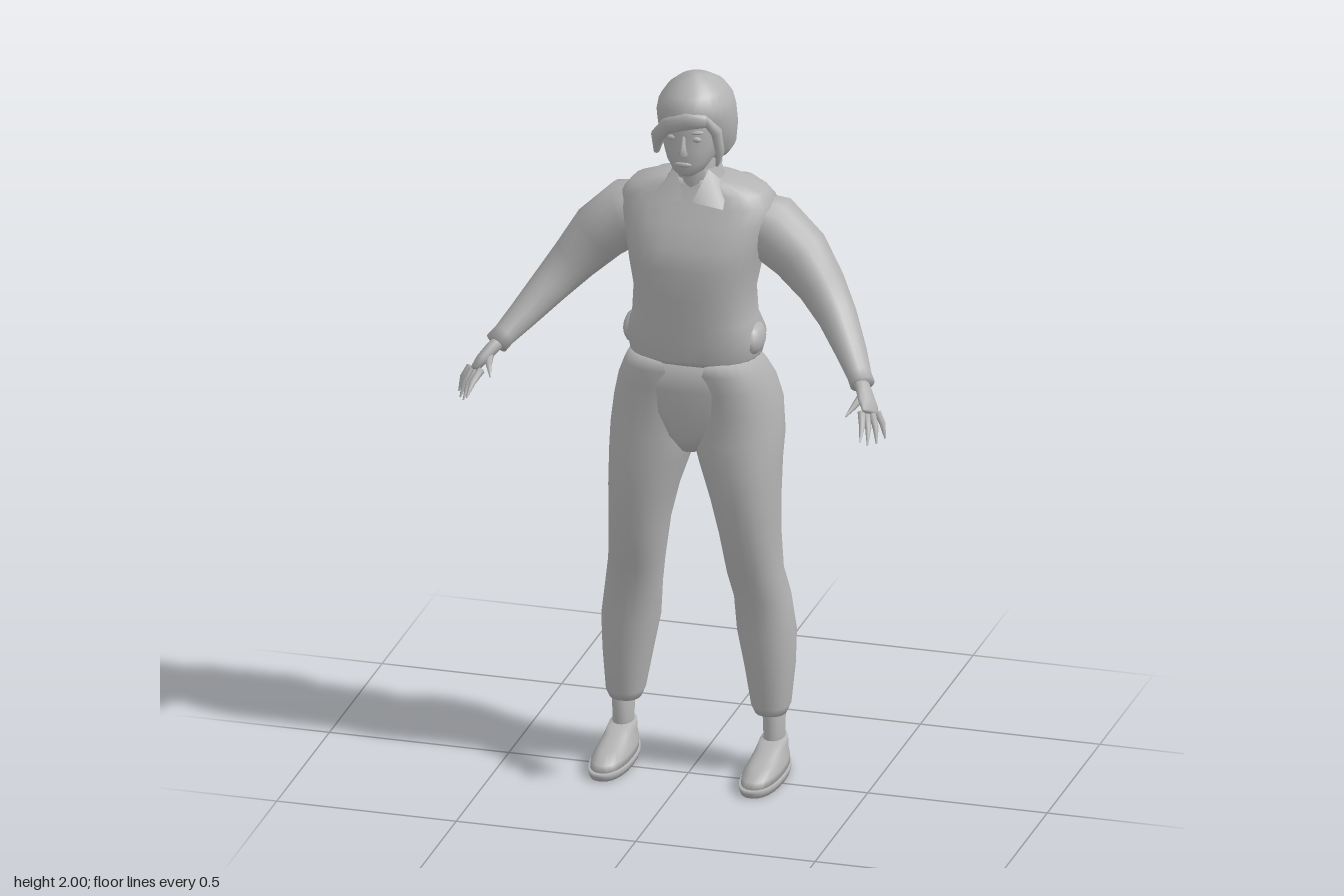
import * as THREE from 'three';

const V = (x, y, z) => new THREE.Vector3(x, y, z);

// Closed skin over rings of equal point count, capped at both ends
function skin(rings) {
  const n = rings[0].length, pos = [], idx = [];
  rings.forEach(r => r.forEach(p => pos.push(p.x, p.y, p.z)));
  for (let i = 0; i < rings.length - 1; i++)
    for (let j = 0; j < n; j++) {
      const a = i * n + j, b = i * n + (j + 1) % n;
      idx.push(a, a + n, b, b, a + n, b + n);
    }
  [rings[0], rings[rings.length - 1]].forEach((r, end) => {
    const c = r.reduce((s, p) => s.add(p), V(0, 0, 0)).divideScalar(n);
    const k = pos.length / 3, o = end ? (rings.length - 1) * n : 0;
    pos.push(c.x, c.y, c.z);
    for (let j = 0; j < n; j++) {
      const a = o + j, b = o + (j + 1) % n;
      if (end) idx.push(k, b, a); else idx.push(k, a, b);
    }
  });
  const g = new THREE.BufferGeometry();
  g.setAttribute('position', new THREE.Float32BufferAttribute(pos, 3));
  g.setIndex(idx);
  g.computeVertexNormals();
  return g;
}

// Horizontal slices: [y, xMin, xMax, zFront, zBack], e = squareness
function stack(slices, e = 2, n = 24) {
  const f = c => Math.sign(c) * Math.abs(c) ** (2 / e);
  return skin(slices.map(([y, x0, x1, zf, zb]) => Array.from({ length: n }, (_, j) => {
    const t = j / n * Math.PI * 2;
    return V((x0 + x1) / 2 + f(Math.cos(t)) * (x1 - x0) / 2, y, (zf + zb) / 2 + f(Math.sin(t)) * (zf - zb) / 2);
  })));
}
const sym = rows => rows.map(([y, rx, zf, zb]) => [y, -rx, rx, zf, zb]);

// Limb along a path: [x, y, z, radius across, radius in depth]
function limb(path, n = 14) {
  const c = path.map(p => V(p[0], p[1], p[2]));
  return skin(path.map((p, i) => {
    const d = c[Math.min(i + 1, c.length - 1)].clone().sub(c[Math.max(i - 1, 0)]).normalize();
    const u = d.clone().cross(V(0, 0, 1)).normalize(), v = u.clone().cross(d);
    return Array.from({ length: n }, (_, j) => {
      const t = j / n * Math.PI * 2;
      return c[i].clone().addScaledVector(u, Math.cos(t) * p[3]).addScaledVector(v, Math.sin(t) * p[4]);
    });
  }));
}

function ball(x, y, z, rx, ry, rz, tilt = 0) {
  return new THREE.SphereGeometry(1, 12, 8).scale(rx, ry, rz).rotateZ(tilt).translate(x, y, z);
}

function mirrored(geo) {
  const g = geo.clone().scale(-1, 1, 1), ix = g.index.array;
  for (let i = 0; i < ix.length; i += 3) [ix[i], ix[i + 1]] = [ix[i + 1], ix[i]];
  g.computeVertexNormals();
  return g;
}

export function createModel() {
  const model = new THREE.Group();
  model.name = 'woman';
  const grey = new THREE.MeshStandardMaterial({ color: 0xb3b3b3, side: THREE.DoubleSide });
  grey.name = 'grey';
  const add = (name, geo) => {
    const m = new THREE.Mesh(geo, grey);
    m.name = name;
    model.add(m);
  };
  const pair = (name, geo) => {
    add(name + 'Left', geo);
    add(name + 'Right', mirrored(geo));
  };

  // Shirt body
  add('shirt', stack(sym([
    [1.19, 0.172, 0.045, -0.215], [1.21, 0.178, 0.055, -0.22], [1.26, 0.188, 0.057, -0.205],
    [1.31, 0.168, 0.06, -0.195], [1.39, 0.163, 0.063, -0.195], [1.47, 0.178, 0.066, -0.21],
    [1.53, 0.19, 0.055, -0.222], [1.59, 0.208, 0.025, -0.228], [1.635, 0.21, 0.0, -0.22],
    [1.665, 0.185, -0.015, -0.205], [1.69, 0.12, -0.025, -0.18], [1.705, 0.065, -0.03, -0.15]
  ]), 2.6, 28));
  pair('hemFold', ball(0.165, 1.255, -0.06, 0.03, 0.045, 0.06));
  pair('shoulderBlade', ball(0.1, 1.58, -0.175, 0.085, 0.1, 0.065));

  // Sleeves
  pair('sleeve', limb([
    [0.1, 1.585, -0.115, 0.07, 0.08], [0.2, 1.555, -0.118, 0.092, 0.092], [0.28, 1.488, -0.113, 0.082, 0.083],
    [0.345, 1.41, -0.095, 0.065, 0.07], [0.4, 1.345, -0.055, 0.053, 0.058], [0.455, 1.28, 0.01, 0.041, 0.048],
    [0.495, 1.235, 0.065, 0.032, 0.037], [0.51, 1.218, 0.085, 0.033, 0.036]
  ], 16));

  // Hands with tapered fingers
  pair('palm', limb([
    [0.5, 1.225, 0.075, 0.018, 0.024], [0.518, 1.208, 0.1, 0.018, 0.026],
    [0.538, 1.185, 0.13, 0.016, 0.038], [0.552, 1.165, 0.15, 0.011, 0.038]
  ], 10));
  [
    [0.53, 1.168, 0.163, 0.548, 1.115, 0.237], [0.543, 1.162, 0.16, 0.563, 1.1, 0.218],
    [0.556, 1.162, 0.15, 0.58, 1.095, 0.19], [0.567, 1.165, 0.138, 0.594, 1.098, 0.155],
    [0.518, 1.198, 0.118, 0.495, 1.165, 0.195]
  ].forEach(([x, y, z, X, Y, Z], i) => pair(i < 4 ? 'finger' + (i + 1) : 'thumb', limb([
    [x, y, z, 0.011, 0.012], [(x + X) / 2 + 0.004, (y + Y) / 2 + 0.004, (z + Z) / 2, 0.009, 0.009], [X, Y, Z, 0.002, 0.002]
  ], 6)));

  // Trousers
  pair('trouserLeg', stack([
    [0.165, 0.16, 0.245, -0.05, -0.145], [0.19, 0.15, 0.255, -0.035, -0.16], [0.3, 0.13, 0.265, -0.028, -0.178],
    [0.4, 0.11, 0.268, -0.02, -0.185], [0.5, 0.103, 0.255, -0.018, -0.175], [0.58, 0.09, 0.24, 0.01, -0.158],
    [0.7, 0.072, 0.235, 0.035, -0.16], [0.8, 0.048, 0.235, 0.047, -0.172], [0.9, 0.015, 0.235, 0.052, -0.2],
    [0.97, -0.01, 0.236, 0.045, -0.23], [1.05, -0.01, 0.228, 0.042, -0.245], [1.12, -0.02, 0.212, 0.047, -0.225],
    [1.17, -0.03, 0.192, 0.05, -0.195], [1.205, -0.05, 0.172, 0.045, -0.17]
  ], 2.2));
  add('trouserFront', stack(sym([
    [0.93, 0.03, 0.005, -0.14], [0.98, 0.085, 0.035, -0.16], [1.05, 0.16, 0.044, -0.17],
    [1.12, 0.19, 0.05, -0.18], [1.205, 0.172, 0.048, -0.18]
  ]), 2.6));

  // Ankles, shoes and soles
  pair('ankle', stack([
    [0.05, 0.178, 0.242, -0.055, -0.145], [0.1, 0.182, 0.238, -0.06, -0.142], [0.2, 0.178, 0.242, -0.06, -0.14]
  ], 2, 14));
  pair('shoe', stack([
    [0.015, 0.158, 0.262, 0.125, -0.155], [0.04, 0.16, 0.26, 0.115, -0.158], [0.058, 0.168, 0.252, 0.06, -0.157],
    [0.075, 0.172, 0.248, -0.005, -0.155], [0.092, 0.176, 0.244, -0.04, -0.15]
  ], 2.3));
  pair('sole', stack([
    [0, 0.157, 0.263, 0.126, -0.156], [0.012, 0.154, 0.266, 0.13, -0.16], [0.022, 0.154, 0.266, 0.13, -0.16]
  ], 2.3));

  // Neck and head
  add('neck', stack(sym([
    [1.64, 0.06, -0.02, -0.15], [1.72, 0.052, -0.025, -0.14], [1.82, 0.055, -0.02, -0.15]
  ]), 2, 16));
  add('face', stack(sym([
    [1.737, 0.022, 0.028, -0.04], [1.75, 0.042, 0.045, -0.09], [1.78, 0.063, 0.053, -0.13],
    [1.82, 0.077, 0.053, -0.15], [1.86, 0.083, 0.048, -0.16], [1.91, 0.082, 0.05, -0.16], [1.95, 0.06, 0.02, -0.13]
  ]), 2.3));
  add('nose', stack(sym([
    [1.802, 0.008, 0.055, 0.03], [1.81, 0.014, 0.071, 0.03], [1.83, 0.009, 0.064, 0.03], [1.86, 0.006, 0.053, 0.03]
  ]), 2, 10));
  add('lips', ball(0, 1.78, 0.049, 0.024, 0.008, 0.008));
  pair('eye', ball(0.034, 1.852, 0.041, 0.014, 0.008, 0.007));
  pair('brow', ball(0.035, 1.872, 0.04, 0.021, 0.005, 0.009, 0.1));

  // Hair cap, swept fringe and side locks
  add('hair', stack(sym([
    [1.735, 0.045, -0.11, -0.185], [1.755, 0.075, -0.06, -0.195], [1.79, 0.098, -0.01, -0.2],
    [1.85, 0.106, 0.02, -0.205], [1.895, 0.105, 0.046, -0.203], [1.93, 0.097, 0.05, -0.195],
    [1.96, 0.077, 0.028, -0.17], [1.985, 0.048, -0.005, -0.125], [2, 0.014, -0.04, -0.07]
  ]), 2.1));
  add('fringe', limb([
    [0.06, 1.905, 0.034, 0.018, 0.012], [0.01, 1.905, 0.049, 0.024, 0.013], [-0.045, 1.882, 0.038, 0.024, 0.014],
    [-0.082, 1.84, 0.01, 0.02, 0.016], [-0.088, 1.79, 0, 0.008, 0.01]
  ], 10));
  add('sideLock', limb([
    [0.055, 1.91, 0.034, 0.012, 0.01], [0.083, 1.87, 0.016, 0.016, 0.016],
    [0.09, 1.81, 0.005, 0.012, 0.018], [0.078, 1.765, -0.01, 0.005, 0.008]
  ], 10));

  // Braid of alternating strands
  const path = new THREE.CatmullRomCurve3([
    V(0, 1.76, -0.185), V(0, 1.69, -0.205), V(0, 1.56, -0.228), V(0, 1.42, -0.212), V(0, 1.28, -0.2)
  ]);
  for (let i = 0; i < 18; i++) {
    const t = i / 17, p = path.getPoint(t), s = i % 2 ? 1 : -1, r = 1 - 0.6 * t;
    add('braidStrand', ball(p.x + s * 0.014 * r, p.y, p.z, 0.02 * r, 0.032 * r + 0.006, 0.02 * r, s * 0.55));
  }

  // Collar band and pointed flaps
  add('collarBand', new THREE.CylinderGeometry(0.062, 0.082, 0.06, 20, 1, true, 0.6, Math.PI * 2 - 1.2)
    .translate(0, 1.705, -0.09));
  const flap = new THREE.BufferGeometry();
  flap.setAttribute('position', new THREE.Float32BufferAttribute([
    0.045, 1.735, -0.04, 0.012, 1.655, 0.008, 0.1, 1.645, 0.012, 0.088, 1.685, -0.07
  ], 3));
  flap.setIndex([0, 1, 2, 0, 2, 3]);
  flap.computeVertexNormals();
  pair('collarFlap', flap);

  return model;
}
